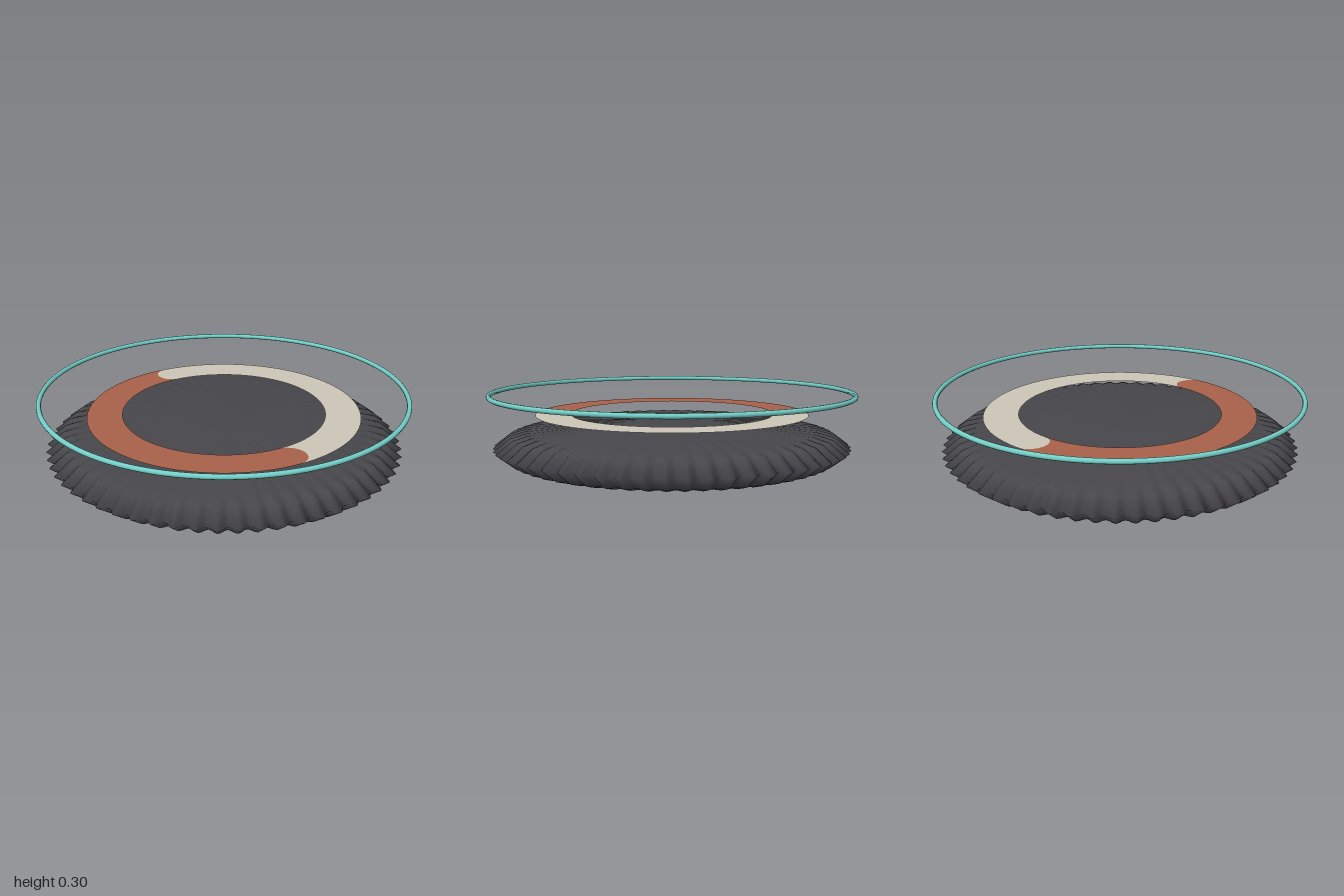
import * as THREE from 'three';
import { mergeVertices } from 'three/addons/utils/BufferGeometryUtils.js';

const material = (name, color, side = THREE.FrontSide) => {
  const m = new THREE.MeshStandardMaterial({ color, side });
  m.name = name;
  return m;
};

const TEETH = 60;

// Lens-shaped disc whose radius ripples into teeth around the rim
function discGeometry() {
  const half = [[0, 0.094], [0.2, 0.083], [0.4, 0.071], [0.55, 0.06], [0.6, 0.046]];
  const profile = [
    ...half.map(([r, h]) => new THREE.Vector2(r, 0.1 - h)),
    new THREE.Vector2(0.66, 0.1),
    ...half.slice().reverse().map(([r, h]) => new THREE.Vector2(r, 0.1 + h)),
  ];
  let geo = new THREE.LatheGeometry(profile, TEETH * 6);
  const p = geo.attributes.position;
  for (let i = 0; i < p.count; i++) {
    const angle = Math.atan2(p.getZ(i), p.getX(i));
    const s = 1 + 0.02 * Math.cos(angle * TEETH);
    p.setXYZ(i, p.getX(i) * s, p.getY(i), p.getZ(i) * s);
  }
  geo.deleteAttribute('uv');
  geo.deleteAttribute('normal');
  geo = mergeVertices(geo, 1e-5);
  geo.computeVertexNormals();
  return geo;
}

// Flat half ring with one round end and one matching hollow end
function halfRingGeometry(turn) {
  const inner = 0.383, outer = 0.515;
  const mid = (inner + outer) / 2, cap = (outer - inner) / 2;
  const shape = new THREE.Shape();
  shape.moveTo(outer, 0);
  shape.absarc(0, 0, outer, 0, -Math.PI, true);
  shape.absarc(-mid, 0, cap, Math.PI, 2 * Math.PI, false);
  shape.absarc(0, 0, inner, Math.PI, 2 * Math.PI, false);
  shape.absarc(mid, 0, cap, Math.PI, 0, true);
  const geo = new THREE.ShapeGeometry(shape, 24);
  geo.rotateZ(turn);
  geo.rotateX(-Math.PI / 2);
  return geo;
}

export function createModel() {
  const model = new THREE.Group();
  model.name = 'toothedDiscWithRings';

  const charcoal = material('charcoal', 0x46464b);
  const rust = material('rust', 0xa8604a);
  const cream = material('cream', 0xcdc6b7, THREE.DoubleSide);
  rust.side = THREE.DoubleSide;
  const teal = material('teal', 0x74cfc8);

  const add = (name, geo, mat, y = 0) => {
    const mesh = new THREE.Mesh(geo, mat);
    mesh.name = name;
    mesh.position.y = y;
    model.add(mesh);
  };

  add('toothedDisc', discGeometry(), charcoal);

  // Two interlocking half rings hovering over the disc
  const turn = THREE.MathUtils.degToRad(66.5);
  add('creamHalfRing', halfRingGeometry(turn), cream, 0.22);
  add('rustHalfRing', halfRingGeometry(turn + Math.PI), rust, 0.22);

  // Thin hoop above everything
  const hoop = new THREE.TorusGeometry(0.682, 0.009, 10, 128);
  hoop.rotateX(Math.PI / 2);
  add('outerHoop', hoop, teal, 0.296);

  return model;
}
